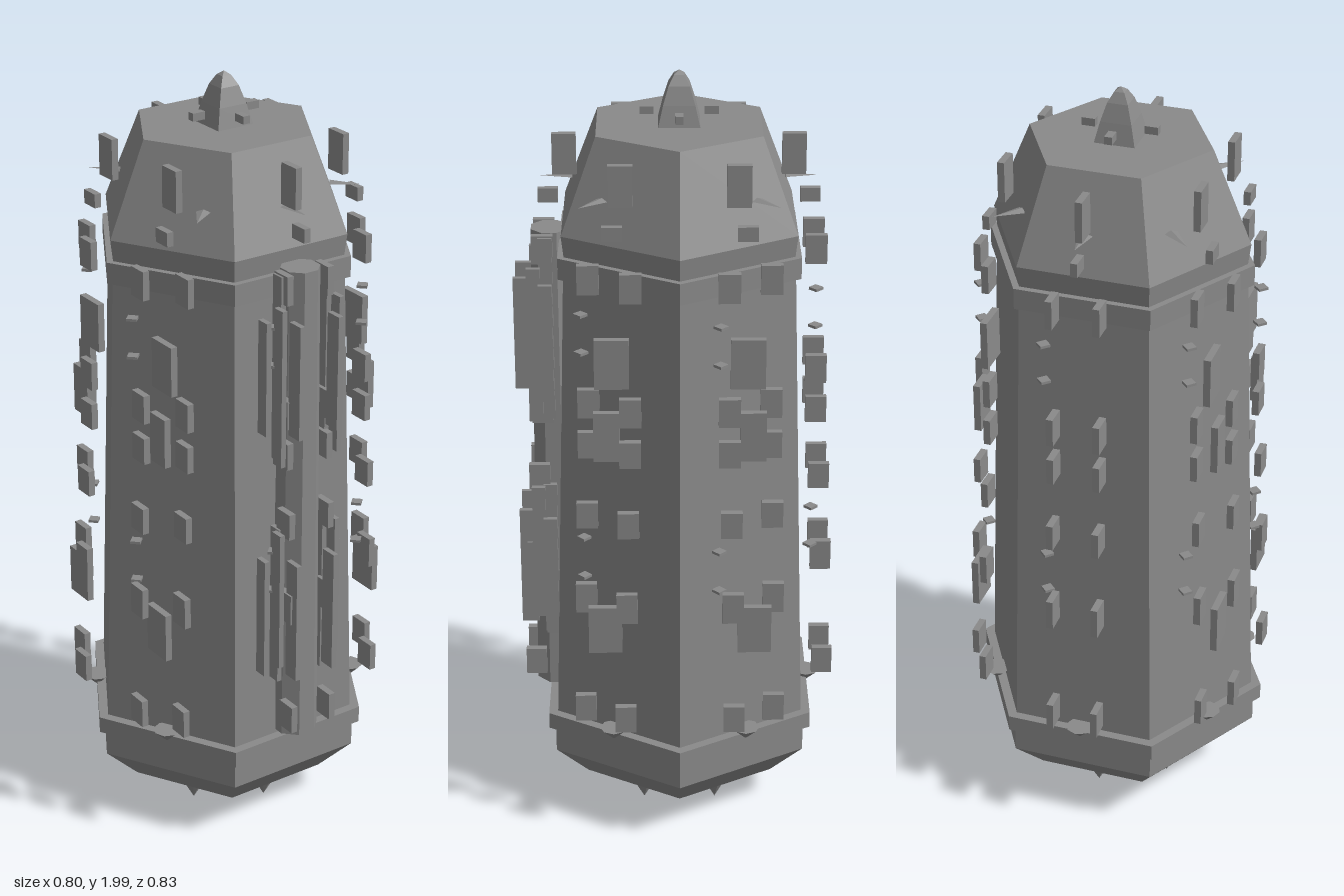
import * as THREE from 'three';

export function createModel() {
  const root = new THREE.Group();
  root.name = 'hexTower';
  const stone = new THREE.MeshStandardMaterial({ color: 0x8a8a8a, flatShading: true });
  stone.name = 'stone grey';
  const tower = new THREE.Group();
  tower.name = 'tower';
  tower.position.z = -0.008;
  root.add(tower);

  const add = (name, geo, x = 0, y = 0, z = 0) => {
    const m = new THREE.Mesh(geo, stone);
    m.name = name;
    m.position.set(x, y, z);
    tower.add(m);
    return m;
  };
  const box = (name, w, h, d, x, y, z) => add(name, new THREE.BoxGeometry(w, h, d), x, y, z);
  const lathe = (name, pts, sides, start) =>
    add(name, new THREE.LatheGeometry(pts.map(p => new THREE.Vector2(...p)), sides, start));

  // Position on a face: r outward along angle a, t sideways
  const faces = [0, 1, 2, 3, 4, 5].map(i => Math.PI / 6 + i * Math.PI / 3);
  const onFace = (a, r, t) => [
    r * Math.cos(a) - t * Math.sin(a),
    r * Math.sin(a) + t * Math.cos(a)
  ];

  // Hexagonal body with foot, bands and sloping roof
  lathe('body', [
    [0, 0.08], [0.285, 0.08], [0.38, 0.175], [0.38, 0.25], [0.4, 0.25], [0.4, 0.295],
    [0.373, 0.295], [0.331, 1.52], [0.346, 1.52], [0.346, 1.575], [0.328, 1.575],
    [0.335, 1.63], [0.235, 1.868], [0, 1.868]
  ], 6, Math.PI / 6);

  // Four-sided curved spire and the small blocks around it
  lathe('spire', [[0.073, 1.868], [0.056, 1.92], [0.037, 1.965], [0.018, 1.99], [0, 2]], 4, Math.PI / 4);
  for (const s of [-1, 1]) {
    box('spireBlock', 0.035, 0.02, 0.02, s * 0.08, 1.9, 0);
    box('spireBlock', 0.02, 0.02, 0.035, 0, 1.9, s * 0.08);
  }

  // Rows of paired blocks: [centre height, height, distance]
  const pairs = [
    [1.557, 0.075, 0.342], [1.232, 0.075, 0.348], [1.12, 0.07, 0.35],
    [0.93, 0.07, 0.362], [0.698, 0.082, 0.372], [0.378, 0.075, 0.383]
  ];
  // Single plates: [centre height, height, depth, distance]
  const singles = [
    [1.787, 0.105, 0.06, 0.285], [1.68, 0.036, 0.05, 0.327],
    [1.345, 0.13, 0.086, 0.335], [1.16, 0.13, 0.065, 0.362], [0.625, 0.13, 0.085, 0.38]
  ];

  for (const a of faces) {
    const sideFace = Math.abs(Math.cos(a)) > 0.1;
    for (const [y, h, r] of pairs) {
      for (const t of [-0.06, 0.06]) {
        const [x, z] = onFace(a, r, t);
        box('pairedBlock', 0.018, h, 0.054, x, y, z);
      }
    }
    singles.forEach(([y, h, d, r], i) => {
      if (i > 1 && !sideFace) return;
      const [x, z] = onFace(a, r, 0);
      box('wallPlate', 0.018, h, d, x, y, z);
    });

    // Small flat chips standing off the wall
    for (const y of [1.46, 1.36, 0.85, 0.74]) {
      const [x, z] = onFace(a, 0.342, 0.083);
      box('wallChip', 0.026, 0.007, 0.026, x, y, z).rotation.y = Math.PI / 4;
    }

    // Downward thorn above the foot band
    const [cx, cz] = onFace(a, 0.345, 0);
    add('bandThorn', new THREE.ConeGeometry(0.036, 0.035, 8).rotateX(Math.PI), cx, 0.295, cz);

    // Downward spike under the foot
    const [sx, sz] = onFace(a, 0.19, 0);
    add('footSpike', new THREE.ConeGeometry(0.038, 0.07, 10).rotateX(Math.PI), sx, 0.045, sz);

    // Flat outward thorn on the roof
    const thorn = add('roofThorn', new THREE.ConeGeometry(0.018, 0.08, 4).rotateX(Math.PI / 2).scale(1, 0.35, 1));
    const b = sideFace ? Math.atan2(Math.sign(Math.sin(a)), Math.sign(Math.cos(a))) : a;
    thorn.position.set(0.305 * Math.cos(b), 1.73, 0.305 * Math.sin(b));
    thorn.rotation.y = Math.PI / 2 - b;
  }

  // Front column with a pointed end
  add('frontColumn', new THREE.CylinderGeometry(0.05, 0.062, 1.29, 8, 1, false, Math.PI / 8), 0, 0.95, 0.325);
  add('columnTip', new THREE.ConeGeometry(0.05, 0.03, 8).rotateX(Math.PI), 0, 0.295, 0.33);

  // Slim bars flanking the column: [x, z, low, high]
  const bars = [
    [0.057, 0.395, 1.18, 1.48], [0.085, 0.365, 1.1, 1.515], [0.068, 0.335, 1.1, 1.59], [0.11, 0.335, 1.18, 1.48],
    [0.057, 0.395, 0.5, 0.83], [0.085, 0.365, 0.53, 0.91], [0.068, 0.335, 0.47, 0.91], [0.11, 0.335, 0.5, 0.83]
  ];
  for (const s of [-1, 1]) {
    for (const [x, z, lo, hi] of bars) {
      box('columnBar', 0.014, hi - lo, z > 0.39 ? 0.045 : 0.035, s * x, (lo + hi) / 2, z);
    }
  }
  return root;
}
